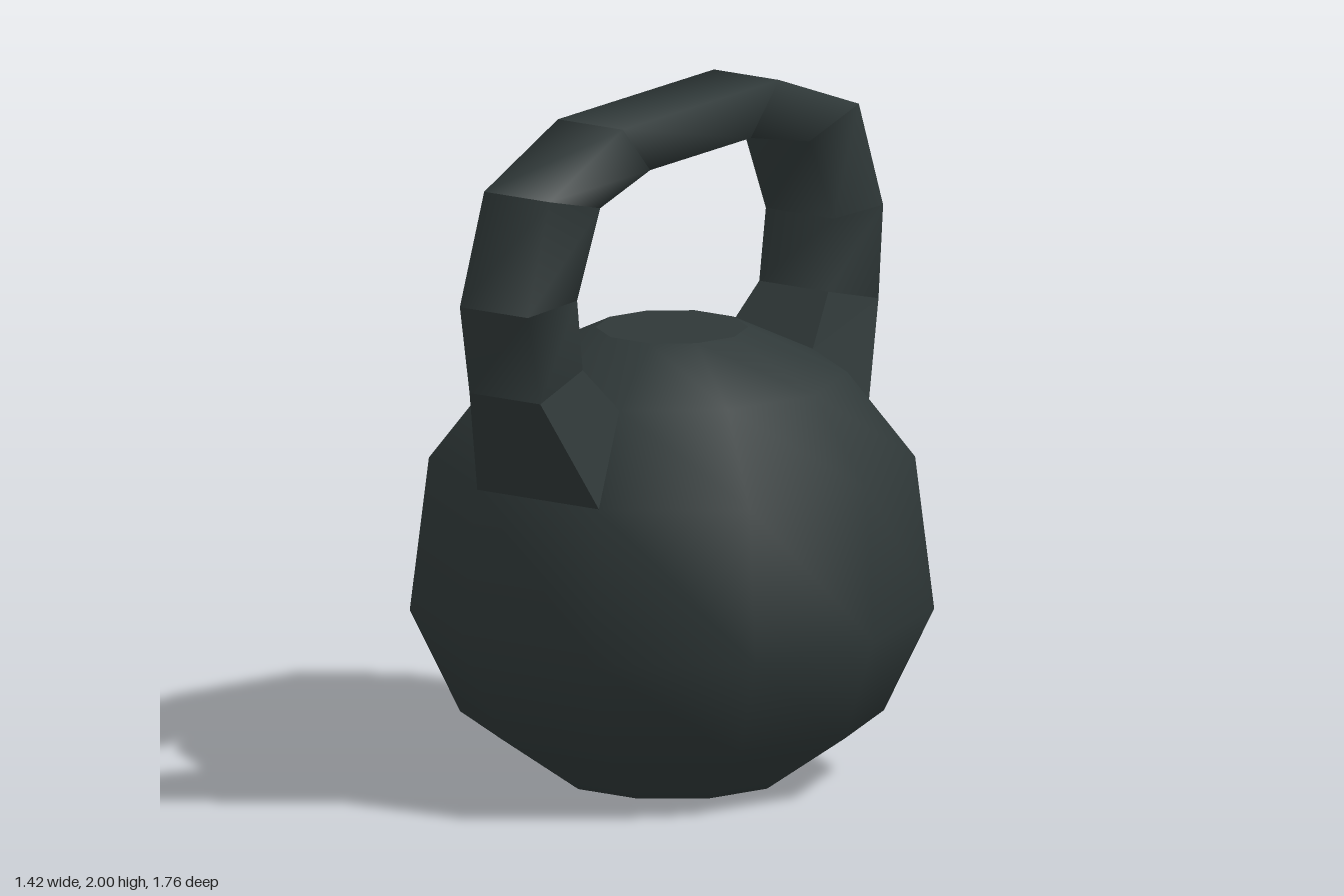
import * as THREE from 'three';

// Skin a run of four-cornered rings with a tube
function skin(rings) {
  const index = [];
  for (let r = 0; r < rings.length - 1; r++) {
    for (let k = 0; k < 4; k++) {
      const a = r * 4 + k, b = r * 4 + (k + 1) % 4;
      index.push(a, b, b + 4, a, b + 4, a + 4);
    }
  }
  const geo = new THREE.BufferGeometry();
  geo.setAttribute('position', new THREE.Float32BufferAttribute(rings.flat(2), 3));
  geo.setIndex(index);
  geo.computeVertexNormals();
  return geo;
}

// Ring from [outer z, outer y, inner z, inner y, outer half width, inner half width]
const ring = ([oz, oy, iz, iy, ow, iw]) =>
  [[-ow, oy, oz], [ow, oy, oz], [iw, iy, iz], [-iw, iy, iz]];

export function createModel() {
  const model = new THREE.Group();
  const iron = new THREE.MeshStandardMaterial({ color: 0x2f3838 });
  iron.name = 'darkIron';
  const add = (parent, name, geo) => {
    const mesh = new THREE.Mesh(geo, iron);
    mesh.name = name;
    parent.add(mesh);
    return mesh;
  };

  // Ten-sided round body, its side tips slightly flattened
  const profile = [[0.336, 0.005], [0.61, 0.19], [0.755, 0.49], [0.70, 0.94], [0.505, 1.19], [0.22, 1.325]];
  const bodyGeo = new THREE.LatheGeometry(profile.map(([r, y]) => new THREE.Vector2(r, y)), 10, Math.PI / 2);
  const pos = bodyGeo.attributes.position;
  for (let i = 0; i < pos.count; i++) {
    const limit = pos.getY(i) < 0.6 ? 0.712 : 0.687;
    pos.setX(i, THREE.MathUtils.clamp(pos.getX(i), -limit, limit));
  }
  add(model, 'body', bodyGeo);

  // Flat top and base
  const top = add(model, 'bodyTop', new THREE.CircleGeometry(0.22, 10));
  top.rotation.x = -Math.PI / 2;
  top.position.y = 1.325;
  const base = add(model, 'base', new THREE.CircleGeometry(0.336, 10));
  base.rotation.x = Math.PI / 2;
  base.position.y = 0.005;

  // Handle arch, front to back, smooth around and creased at each bend
  const stations = [
    [0.83, 1.27, 0.615, 1.33, 0.125, 0.122],
    [0.885, 1.535, 0.64, 1.54, 0.12, 0.12],
    [0.77, 1.855, 0.52, 1.79, 0.116, 0.116],
    [0.405, 2.0, 0.27, 1.855, 0.115, 0.115],
    [-0.37, 2.0, -0.23, 1.855, 0.115, 0.115],
    [-0.765, 1.855, -0.52, 1.79, 0.116, 0.116],
    [-0.88, 1.535, -0.635, 1.54, 0.12, 0.12],
    [-0.85, 1.265, -0.605, 1.33, 0.125, 0.122],
  ];
  const handle = new THREE.Group();
  handle.name = 'handle';
  model.add(handle);
  for (let i = 0; i < stations.length - 1; i++) {
    add(handle, 'handleSegment' + (i + 1), skin([ring(stations[i]), ring(stations[i + 1])]));
  }

  // Flared feet, flat faced, growing out of the body facets
  const foot = (s) => [s * 0.665, 0.94, s * 0.48, 1.19, 0.215, 0.156];
  const feet = {
    frontFoot: [foot(1), stations[0]],
    backFoot: [stations[7], foot(-1)],
  };
  for (const [name, pair] of Object.entries(feet)) {
    const geo = skin(pair.map(ring)).toNonIndexed();
    geo.computeVertexNormals();
    add(model, name, geo);
  }

  return model;
}
